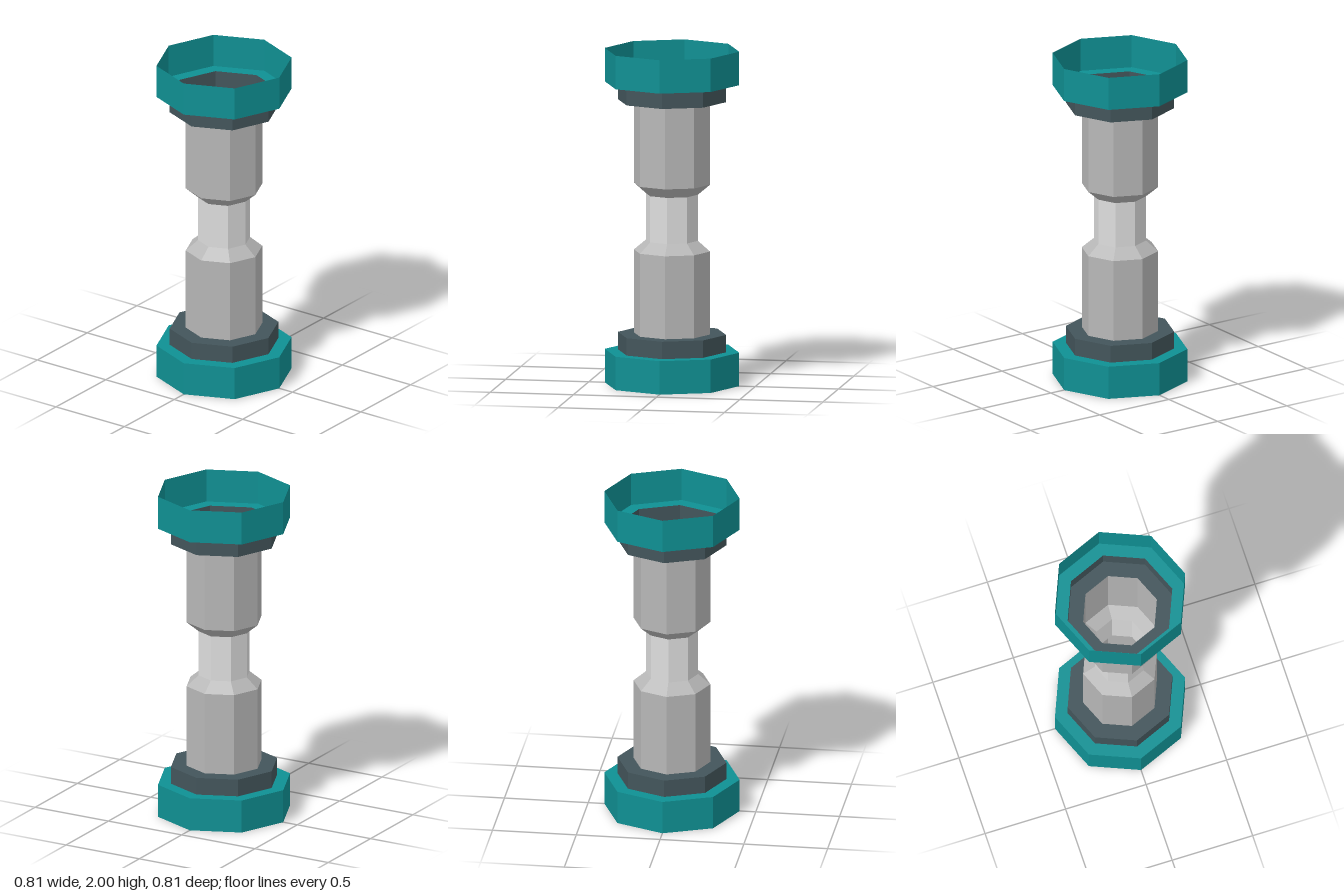
import * as THREE from 'three';

const SIDES = 8;

function material(name, color) {
  const m = new THREE.MeshStandardMaterial({ color, flatShading: true, side: THREE.DoubleSide });
  m.name = name;
  return m;
}

export function createModel() {
  const teal = material('teal', 0x0f9093);
  const slate = material('dark slate', 0x43555b);
  const grey = material('grey', 0xb7b7b7);
  const paleGrey = material('pale grey', 0xdddddd);

  const model = new THREE.Group();
  model.name = 'hollowColumn';

  // Open eight-sided shell turned from a [radius, height] profile, bottom to top
  function addShell(name, profile, mat) {
    const points = profile.map(([r, y]) => new THREE.Vector2(r, y));
    const mesh = new THREE.Mesh(new THREE.LatheGeometry(points, SIDES), mat);
    mesh.name = name;
    model.add(mesh);
  }

  // Lower half profiles; each is a wall with an inward ledge or slope
  const parts = [
    ['Rim', [[0.404, 0], [0.404, 0.2], [0.325, 0.2]], teal],
    ['Collar', [[0.325, 0.2], [0.325, 0.304], [0.229, 0.304]], slate],
    ['Barrel', [[0.229, 0.304], [0.229, 0.8], [0.156, 0.862]], grey],
  ];
  for (const [name, profile, mat] of parts) {
    addShell('lower' + name, profile, mat);
    // Mirror about mid height, reversed so the faces still look outward
    const mirrored = profile.map(([r, y]) => [r, 2 - y]).reverse();
    addShell('upper' + name, mirrored, mat);
  }

  // Narrow waist joining the halves
  addShell('neck', [[0.156, 0.862], [0.156, 1.138]], paleGrey);

  return model;
}
